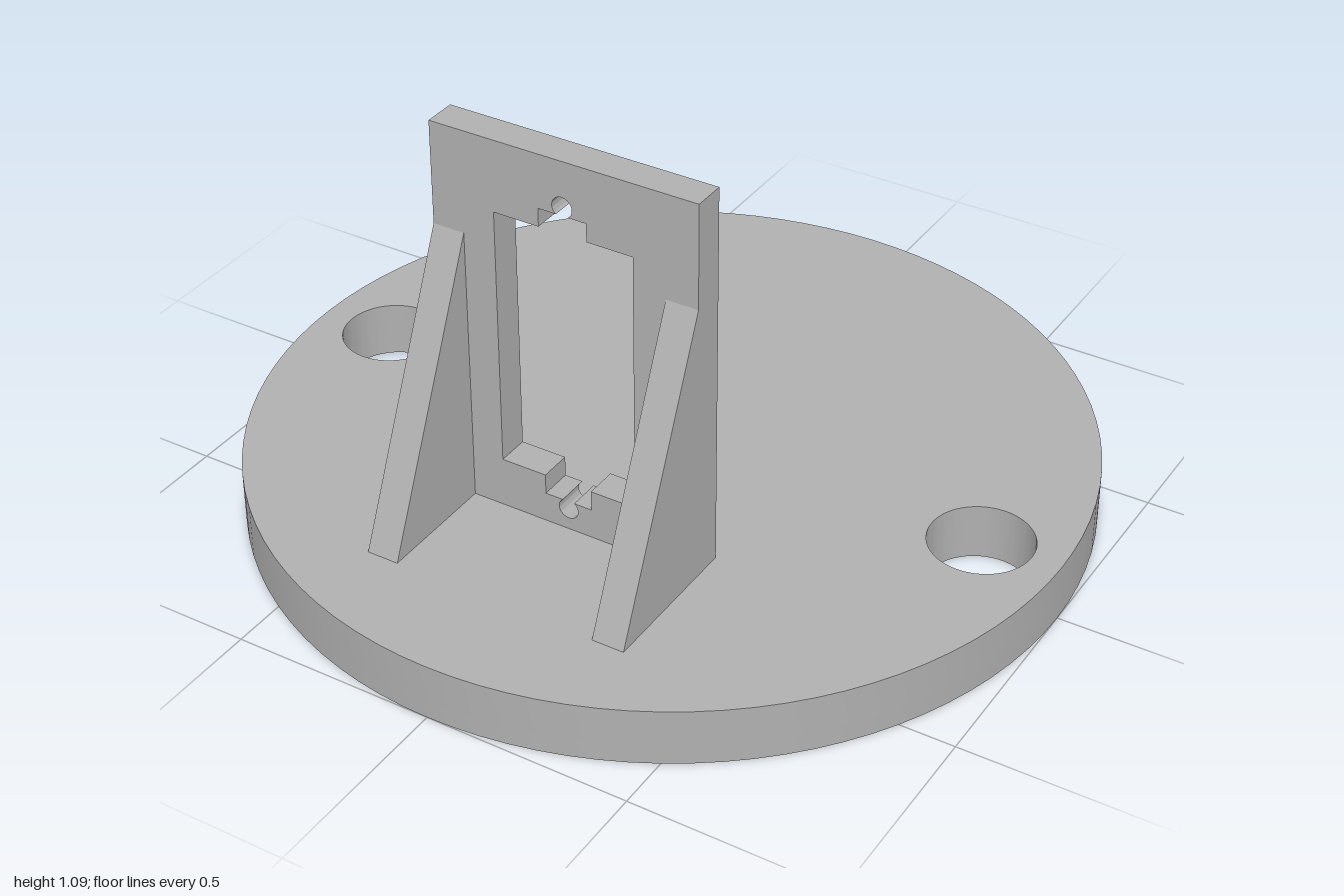
import * as THREE from 'three';
import { toCreasedNormals } from 'three/addons/utils/BufferGeometryUtils.js';

const BASE_TOP = 0.14, RECESS = 0.045;

function extrude(shape, depth) {
  const geo = new THREE.ExtrudeGeometry(shape, { depth, bevelEnabled: false, curveSegments: 48 });
  return toCreasedNormals(geo, 0.5);
}

function circle(x, y, r) {
  return new THREE.Path().absarc(x, y, r, 0, Math.PI * 2, false);
}

// Disc outline with the two large mounting holes
function discShape() {
  const s = new THREE.Shape().absarc(0, 0, 1, 0, Math.PI * 2, false);
  s.holes.push(circle(-0.805, 0, 0.123), circle(0.805, 0, 0.123));
  return s;
}

// Two-armed recess with a round hub
function hornPath() {
  const end = 0.405, w = 0.06, hub = 0.13, a = Math.asin(0.068 / hub), P = Math.PI;
  const p = new THREE.Path();
  p.absarc(end, 0, w, -P / 2, P / 2, false);
  p.absarc(0, 0, hub, a, P - a, false);
  p.absarc(-end, 0, w, P / 2, P * 1.5, false);
  p.absarc(0, 0, hub, P + a, 2 * P - a, false);
  p.closePath();
  return p;
}

// Stepped window with a round screw notch at top and bottom
function windowPath() {
  const w = 0.174, n = 0.06, r = 0.025, g = 0.015, c = Math.asin(0.8), P = Math.PI;
  const p = new THREE.Path();
  p.moveTo(w, 0.265);
  p.lineTo(w, 0.91);
  p.lineTo(n, 0.91);
  p.lineTo(n, 0.955);
  p.lineTo(g, 0.955);
  p.absarc(0, 0.975, r, -c, P + c, false);
  p.lineTo(-n, 0.955);
  p.lineTo(-n, 0.91);
  p.lineTo(-w, 0.91);
  p.lineTo(-w, 0.265);
  p.lineTo(-n, 0.265);
  p.lineTo(-n, 0.215);
  p.lineTo(-g, 0.215);
  p.absarc(0, 0.195, r, P - c, 2 * P + c, false);
  p.lineTo(n, 0.215);
  p.lineTo(n, 0.265);
  p.closePath();
  return p;
}

export function createModel() {
  const model = new THREE.Group();
  model.name = 'servoMount';
  const grey = new THREE.MeshStandardMaterial({ color: 0xb0b0b0 });
  grey.name = 'plain grey';
  const add = (name, geo) => {
    const mesh = new THREE.Mesh(geo, grey);
    mesh.name = name;
    model.add(mesh);
    return mesh;
  };

  // Base disc: recessed lower layer, drilled upper layer
  const lower = discShape();
  lower.holes.push(hornPath());
  add('baseLower', extrude(lower, RECESS).rotateX(-Math.PI / 2));

  const upper = discShape();
  upper.holes.push(circle(0, 0, 0.08));
  add('baseUpper', extrude(upper, BASE_TOP - RECESS).rotateX(-Math.PI / 2)).position.y = RECESS;

  // Upright plate
  const plate = new THREE.Shape([
    new THREE.Vector2(-0.333, BASE_TOP), new THREE.Vector2(0.333, BASE_TOP),
    new THREE.Vector2(0.333, 1.087), new THREE.Vector2(-0.333, 1.087),
  ]);
  plate.holes.push(windowPath());
  add('uprightPlate', extrude(plate, 0.08)).position.z = 0.362;

  // Triangular side braces: profile x runs along z after turning
  const brace = new THREE.Shape([
    new THREE.Vector2(-0.744, BASE_TOP), new THREE.Vector2(-0.442, BASE_TOP),
    new THREE.Vector2(-0.442, 0.833),
  ]);
  for (const [name, x] of [['leftBrace', 0.254], ['rightBrace', -0.333]]) {
    add(name, extrude(brace, 0.079).rotateY(Math.PI / 2)).position.x = x;
  }
  return model;
}
